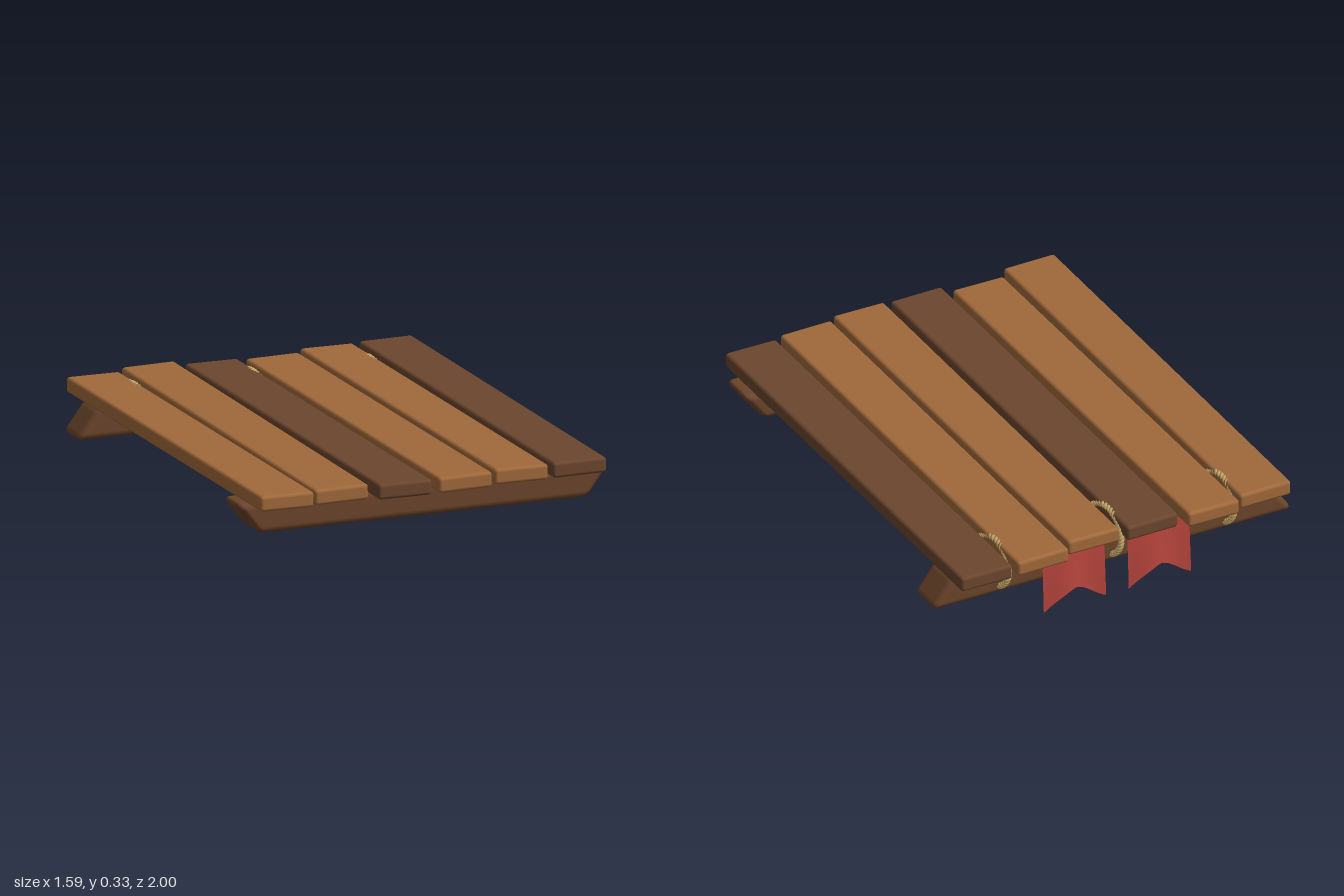
import * as THREE from 'three';
import { RoundedBoxGeometry } from 'three/addons/geometries/RoundedBoxGeometry.js';

const mat = (name, color, side = THREE.FrontSide) => {
  const m = new THREE.MeshStandardMaterial({ color, side });
  m.name = name;
  return m;
};

// Beam whose ends slant: positive slope is longer on top, negative longer below
function beamGeometry(length, height, depth, slope) {
  const g = new RoundedBoxGeometry(length, height, depth, 4, 0.03);
  const p = g.attributes.position, n = g.attributes.normal;
  const v = new THREE.Vector3();
  for (let i = 0; i < p.count; i++) {
    const s = Math.sign(p.getX(i)) * slope;
    p.setX(i, p.getX(i) + s * p.getY(i));
    v.fromBufferAttribute(n, i);
    v.y -= s * v.x;
    v.normalize();
    n.setXYZ(i, v.x, v.y, v.z);
  }
  return g;
}

// One strand of a twisted rope loop, leaning slightly in x
function strandGeometry(phase) {
  const pts = [];
  const count = 160, twists = 20;
  for (let i = 0; i < count; i++) {
    const a = (i / count) * Math.PI * 2;
    const t = a * twists + phase;
    const r = 0.006 * Math.cos(t);
    pts.push(new THREE.Vector3(
      -0.018 * Math.sin(a) + 0.006 * Math.sin(t),
      (0.087 + r) * Math.sin(a),
      (0.136 + r) * Math.cos(a)
    ));
  }
  const path = new THREE.CatmullRomCurve3(pts, true);
  return new THREE.TubeGeometry(path, 320, 0.008, 6, true);
}

// Rippled cloth with a swallowtail hem
function flagGeometry() {
  const w = 0.275, top = 0.268;
  const g = new THREE.PlaneGeometry(w, 1, 24, 10);
  const p = g.attributes.position;
  for (let i = 0; i < p.count; i++) {
    const u = p.getX(i) / w + 0.5;
    const d = 0.5 - p.getY(i);
    const hem = u < 0.5
      ? 0.012 + 0.078 * THREE.MathUtils.smoothstep(u, -0.05, 0.52)
      : 0.09 - 0.085 * Math.pow((u - 0.5) * 2, 1.35);
    p.setY(i, top + (hem - top) * d);
    p.setZ(i, -0.893 - 0.017 * d + 0.008 * Math.sin(u * Math.PI * 2.4) * (0.4 + 0.6 * d));
  }
  g.computeVertexNormals();
  return g;
}

export function createModel() {
  const group = new THREE.Group();
  group.name = 'plankPlatform';
  const lightWood = mat('light wood', 0xa0693b);
  const darkWood = mat('dark wood', 0x6b462d);
  const beamWood = mat('beam wood', 0x6b442b);
  const ropeTan = mat('rope tan', 0xc2a468);
  const clothRed = mat('cloth red', 0xb5443b, THREE.DoubleSide);

  const add = (name, geometry, material, x = 0, y = 0, z = 0, parent = group) => {
    const m = new THREE.Mesh(geometry, material);
    m.name = name;
    m.position.set(x, y, z);
    parent.add(m);
    return m;
  };

  // Deck planks: centre x, back z, front z, height, pitch, roll, material
  [
    [-0.635, -0.965, 0.99, 0.300, 0.001, -0.01, lightWood],
    [-0.385, -1.0, 0.95, 0.299, 0.008, 0.01, lightWood],
    [-0.13, -0.965, 0.99, 0.298, 0.003, -0.01, darkWood],
    [0.125, -0.95, 0.995, 0.299, 0.001, 0.01, lightWood],
    [0.375, -0.995, 0.97, 0.300, 0.002, -0.01, lightWood],
    [0.63, -1.0, 0.955, 0.300, 0.005, 0.005, darkWood],
  ].forEach(([x, z0, z1, y, pitch, roll, material], i) => {
    const geometry = new RoundedBoxGeometry(0.228, 0.064, z1 - z0, 3, 0.014);
    const plank = add('plank' + (i + 1), geometry, material, x, y, (z0 + z1) / 2);
    plank.rotation.set(pitch, 0, roll);
  });

  // Cross beams under both ends
  add('frontBeam', beamGeometry(1.5, 0.13, 0.168, 0.75), beamWood, 0, 0.207, 0.782);
  add('rearBeam', beamGeometry(1.52, 0.134, 0.17, -0.75), beamWood, 0, 0.203, -0.793);

  // Rope lashings around the rear beam, in the plank gaps
  const strands = [strandGeometry(0), strandGeometry(Math.PI)];
  [-0.515, -0.008, 0.495].forEach((x, i) => {
    const lashing = new THREE.Group();
    lashing.name = 'ropeLashing' + (i + 1);
    lashing.position.set(x, 0.237, -0.788);
    strands.forEach((g, j) => add('strand' + (j + 1), g, ropeTan, 0, 0, 0, lashing));
    group.add(lashing);
  });

  // Hanging flags behind the rear beam
  const flag = flagGeometry();
  add('rightFlag', flag, clothRed, -0.1925);
  add('leftFlag', flag, clothRed, 0.1875);

  return group;
}
